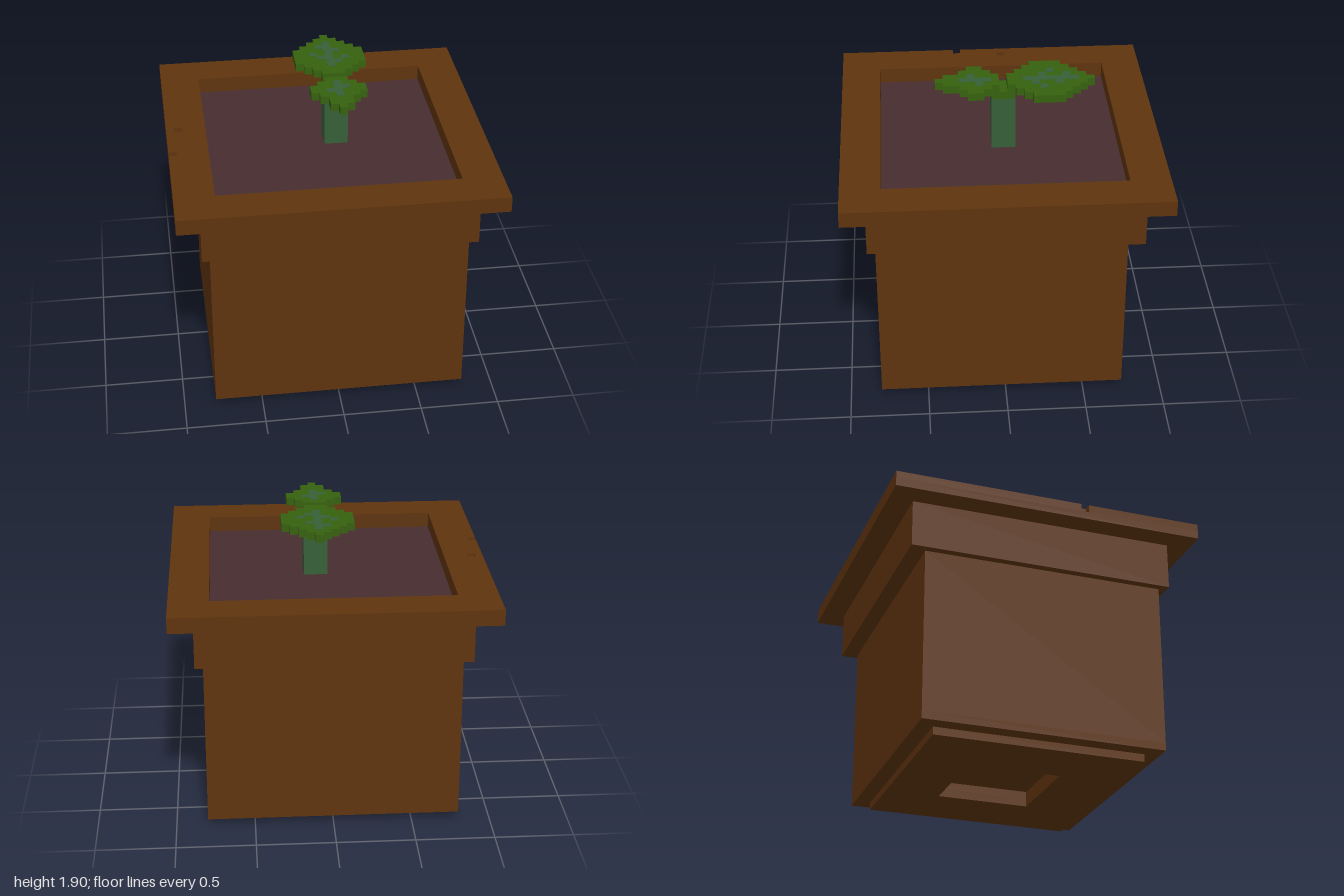
import * as THREE from 'three';

const U = 0.05; // block size
const paint = (name, color) => {
  const m = new THREE.MeshStandardMaterial({ color });
  m.name = name;
  return m;
};

// corners of a rectangle in plan: x range, z range
const rect = (x0, x1, z0, z1) => [[x0, z0], [x1, z0], [x1, z1], [x0, z1]];
const square = (r) => rect(-r, r, -r, r);
const toPoints = (pts) => pts.map(([x, z]) => new THREE.Vector2(x, z));

export function createModel() {
  const clay = paint('clay', 0x5f340e);
  const earth = paint('earth', 0x472d2f);
  const leafGreen = paint('leaf green', 0x36610e);
  const stemGreen = paint('stem green', 0x366038);
  const model = new THREE.Group();
  model.name = 'pottedSprout';

  // horizontal slab with a plan outline and optional holes
  function slab(name, material, y0, y1, outline, holes = [], parent = model) {
    const shape = new THREE.Shape(toPoints(outline));
    for (const h of holes) shape.holes.push(new THREE.Path(toPoints(h)));
    const geo = new THREE.ExtrudeGeometry(shape, { depth: y1 - y0, bevelEnabled: false });
    geo.rotateX(Math.PI / 2).translate(0, y1, 0);
    const mesh = new THREE.Mesh(geo, material);
    mesh.name = name;
    parent.add(mesh);
    return mesh;
  }

  // pot, with a shallow square recess underneath
  const pot = new THREE.Group();
  pot.name = 'pot';
  model.add(pot);
  const body = rect(-0.8, 0.8, -0.75, 0.8);
  slab('foot', clay, 0, 0.05, rect(-0.7, 0.7, -0.65, 0.7), [square(0.3)], pot);
  slab('bodyBase', clay, 0.05, 0.1, body, [square(0.3)], pot);
  slab('body', clay, 0.1, 1.15, body, [], pot);
  slab('collar', clay, 1.15, 1.45, square(0.85), [square(0.75)], pot);
  slab('rimLower', clay, 1.45, 1.5, square(1), [square(0.75)], pot);
  // upper rim layer has one chipped edge and one pit
  const chippedRim = [[-1, -1], [1, -1], [1, 1], [-1, 1],
    [-1, 0.25], [-0.95, 0.25], [-0.95, 0.2], [-1, 0.2]];
  slab('rimUpper', clay, 1.5, 1.55, chippedRim,
    [square(0.75), rect(-0.95, -0.9, -0.1, -0.05)], pot);

  slab('soil', earth, 1.15, 1.45, square(0.75));

  // stem
  const stemPlan = rect(0, 0.15, -0.1, 0.05);
  slab('stem', stemGreen, 1.45, 1.8, stemPlan);
  slab('stemTip', leafGreen, 1.8, 1.85, stemPlan);

  // stepped leaf: widths of successive rows in blocks, running from startZ along dir
  function leaf(name, startZ, dir, widths, veins) {
    const group = new THREE.Group();
    group.name = name;
    model.add(group);
    const cx = 0.075, right = [], left = [];
    widths.forEach((w, i) => {
      if (i && widths[i - 1] === w) {
        right.pop();
        left.pop();
      } else {
        right.push([cx + w * U / 2, startZ + dir * i * U]);
        left.push([cx - w * U / 2, startZ + dir * i * U]);
      }
      right.push([cx + w * U / 2, startZ + dir * (i + 1) * U]);
      left.push([cx - w * U / 2, startZ + dir * (i + 1) * U]);
    });
    slab('blade', leafGreen, 1.85, 1.9, [...right, ...left.reverse()], [], group);
    // vein patches on both faces: block column, first row, last row (in z)
    for (const [col, r0, r1] of veins) {
      const plan = rect(col * U, (col + 1) * U, r0 * U, r1 * U);
      slab('veinTop', stemGreen, 1.899, 1.902, plan, [], group);
      slab('veinUnder', stemGreen, 1.848, 1.851, plan, [], group);
    }
  }

  leaf('largeLeaf', -0.05, -1, [3, 5, 7, 9, 9, 9, 9, 7, 5, 3, 1], [
    [1, -10, -3], [0, -9, -8], [2, -8, -7], [-1, -7, -6],
    [0, -6, -5], [3, -6, -5], [2, -5, -4],
  ]);
  leaf('smallLeaf', 0, 1, [3, 5, 7, 7, 5, 3, 3, 1], [
    [1, 1, 5], [2, 2, 3], [0, 3, 4],
  ]);

  return model;
}
